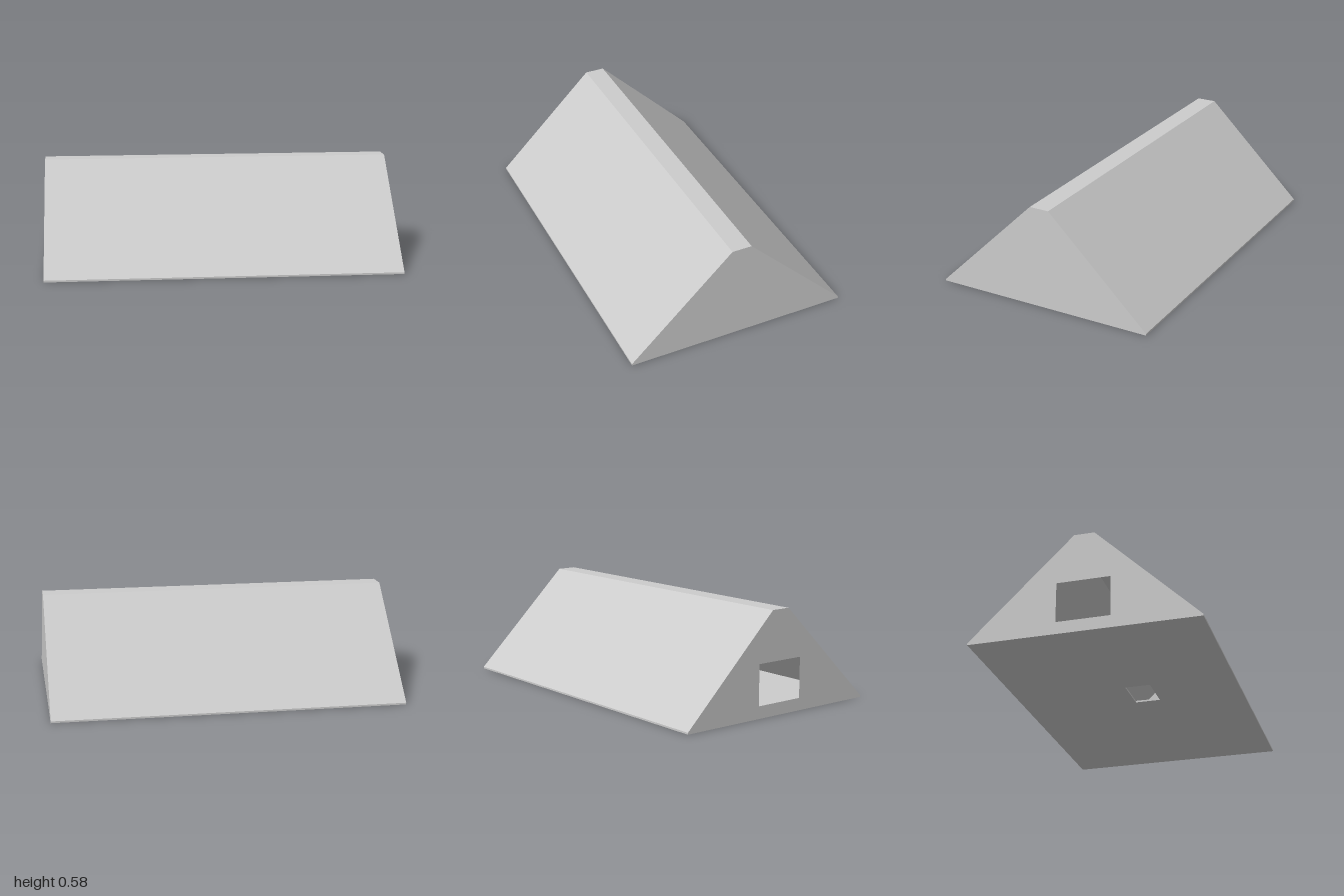
import * as THREE from 'three';

const LENGTH = 2;      // along x
const HALF = 0.642;    // half width at the eaves
const RIDGE = 0.057;   // half width of the flat ridge
const HEIGHT = 0.58;
const FLOOR = 0.01;    // floor thickness

const material = new THREE.MeshStandardMaterial({
  color: 0xcccccc, side: THREE.DoubleSide, flatShading: true,
});

function polygon(points) {
  return new THREE.Shape(points.map(([x, y]) => new THREE.Vector2(x, y)));
}

function rectangle(x0, y0, x1, y1) {
  return polygon([[x0, y0], [x1, y0], [x1, y1], [x0, y1]]);
}

function addPart(group, name, geometry) {
  const mesh = new THREE.Mesh(geometry, material);
  mesh.name = name;
  group.add(mesh);
  return mesh;
}

// End wall: triangle with its tip cut flat
function gableShape() {
  return polygon([[-HALF, FLOOR], [HALF, FLOOR], [RIDGE, HEIGHT], [-RIDGE, HEIGHT]]);
}

export function createModel() {
  const group = new THREE.Group();
  group.name = 'tent';

  // Thin floor slab with a small off-centre opening
  const floorShape = rectangle(-LENGTH / 2, -HALF, LENGTH / 2, HALF);
  floorShape.holes.push(rectangle(-0.235, -0.155, -0.01, -0.01));
  const floor = new THREE.ExtrudeGeometry(floorShape, { depth: FLOOR, bevelEnabled: false });
  addPart(group, 'floor', floor.rotateX(-Math.PI / 2));

  // Two sloping roof sheets, mirrored front to back
  const run = HALF - RIDGE, rise = HEIGHT - FLOOR;
  for (const [name, turn] of [['frontSlope', 0], ['backSlope', Math.PI]]) {
    const slope = new THREE.PlaneGeometry(LENGTH, Math.hypot(run, rise))
      .rotateX(-Math.atan2(run, rise))
      .translate(0, (HEIGHT + FLOOR) / 2, (HALF + RIDGE) / 2)
      .rotateY(turn);
    addPart(group, name, slope);
  }

  // Flat strip along the top
  const ridge = new THREE.PlaneGeometry(LENGTH, 2 * RIDGE).rotateX(-Math.PI / 2);
  addPart(group, 'ridge', ridge.translate(0, HEIGHT, 0));

  // Closed end wall
  const closedEnd = new THREE.ShapeGeometry(gableShape()).rotateY(Math.PI / 2);
  addPart(group, 'closedEnd', closedEnd.translate(LENGTH / 2, 0, 0));

  // End wall with the doorway
  const doorShape = gableShape();
  doorShape.holes.push(rectangle(-0.15, 0.07, 0.15, 0.3));
  const doorEnd = new THREE.ShapeGeometry(doorShape).rotateY(-Math.PI / 2);
  addPart(group, 'doorEnd', doorEnd.translate(-LENGTH / 2, 0, 0));

  return group;
}
